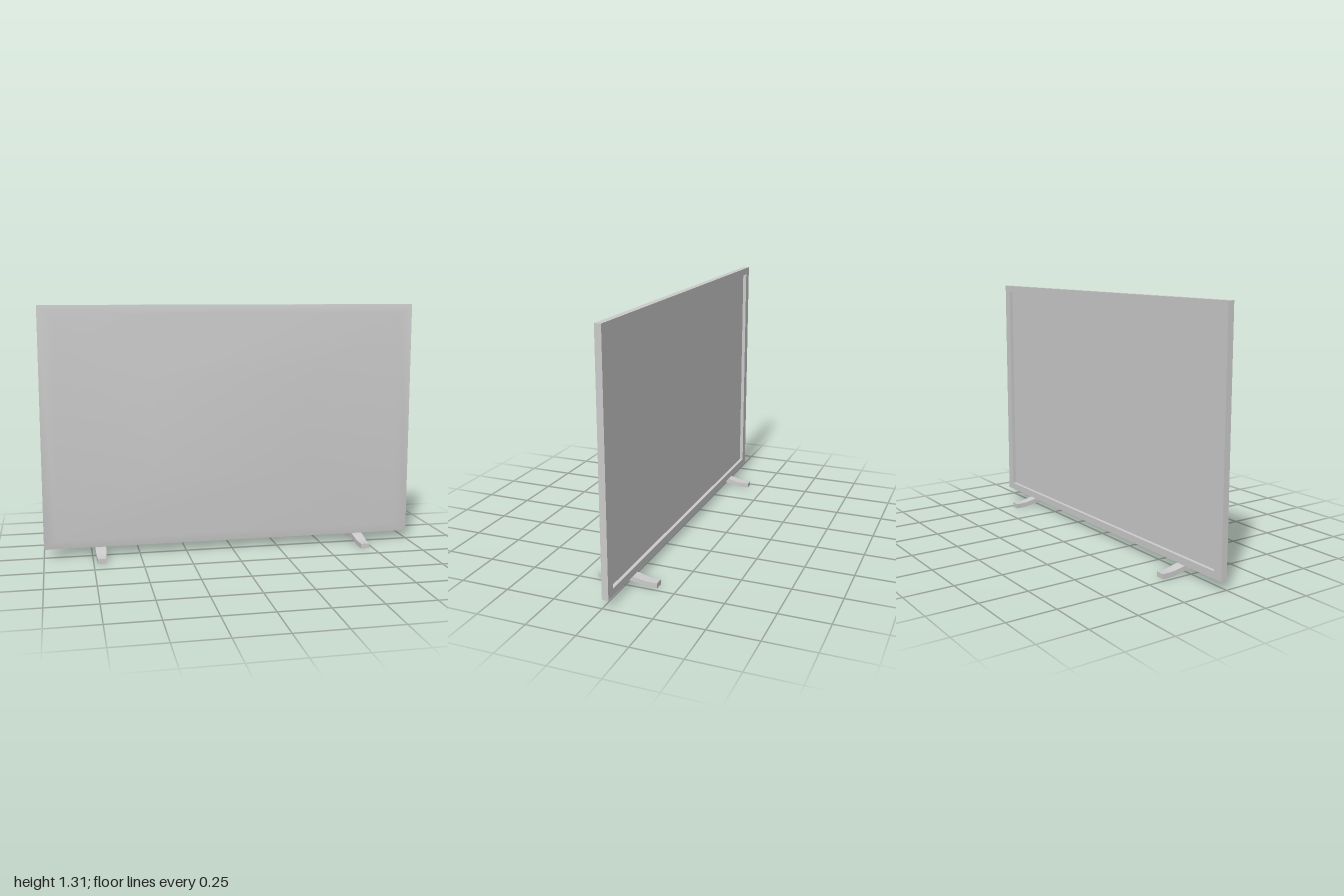
import * as THREE from 'three';

const MID_Y = 0.678, HALF_W = 1, HALF_H = 0.633, DEPTH = 0.033;
const material = new THREE.MeshStandardMaterial({ color: 0xcccccc });

function addMesh(parent, name, geometry) {
  const mesh = new THREE.Mesh(geometry, material);
  mesh.name = name;
  parent.add(mesh);
  return mesh;
}

function rectangle(PathType, w, h) {
  const path = new PathType();
  path.moveTo(-w, -h).lineTo(w, -h).lineTo(w, h).lineTo(-w, h).closePath();
  return path;
}

// Shallow domed cover: nested rectangular rings closed by a flat centre
function coverGeometry() {
  const rings = [[HALF_W, HALF_H, 0], [0.93, 0.585, 0.011], [0.4, 0.26, 0.034]];
  const positions = [], index = [];
  for (const [w, h, z] of rings) positions.push(-w, -h, z, w, -h, z, w, h, z, -w, h, z);
  for (let r = 0; r < rings.length - 1; r++) {
    for (let i = 0; i < 4; i++) {
      const a = r * 4 + i, b = r * 4 + (i + 1) % 4;
      index.push(a, b, b + 4, a, b + 4, a + 4);
    }
  }
  const c = (rings.length - 1) * 4;
  index.push(c, c + 1, c + 2, c, c + 2, c + 3);
  const geometry = new THREE.BufferGeometry();
  geometry.setAttribute('position', new THREE.Float32BufferAttribute(positions, 3));
  geometry.setIndex(index);
  geometry.computeVertexNormals();
  return geometry;
}

// Arched foot: a bar bent upward in the middle and narrowed toward both ends
function footGeometry() {
  const box = new THREE.BoxGeometry(0.056, 0.026, 0.31, 1, 1, 16);
  const p = box.attributes.position;
  for (let i = 0; i < p.count; i++) {
    const d = Math.abs(p.getZ(i));
    const rise = 0.019 * (1 - THREE.MathUtils.smoothstep(d, 0, 0.12));
    const taper = 1 - 0.18 * THREE.MathUtils.smoothstep(d, 0.03, 0.155);
    p.setX(i, p.getX(i) * taper);
    p.setY(i, p.getY(i) + 0.013 + rise);
  }
  box.computeVertexNormals();
  return box;
}

export function createModel() {
  const model = new THREE.Group();
  model.name = 'television';

  const panel = new THREE.Group();
  panel.name = 'panel';
  panel.position.y = MID_Y;
  model.add(panel);

  // Bezel with a rectangular opening
  const insetW = HALF_W - 0.05, insetH = HALF_H - 0.037;
  const outline = rectangle(THREE.Shape, HALF_W, HALF_H);
  outline.holes.push(rectangle(THREE.Path, insetW, insetH));
  const bezel = new THREE.ExtrudeGeometry(outline, { depth: DEPTH, bevelEnabled: false });
  addMesh(panel, 'bezel', bezel).position.z = -DEPTH;

  // Recessed screen
  const screen = new THREE.BoxGeometry(insetW * 2, insetH * 2, 0.013);
  addMesh(panel, 'screen', screen).position.z = -0.0075;

  addMesh(panel, 'domedCover', coverGeometry());

  // Pair of feet
  for (const side of [-1, 1]) {
    const foot = addMesh(model, side > 0 ? 'leftFoot' : 'rightFoot', footGeometry());
    foot.position.x = side * 0.707;
  }
  return model;
}
